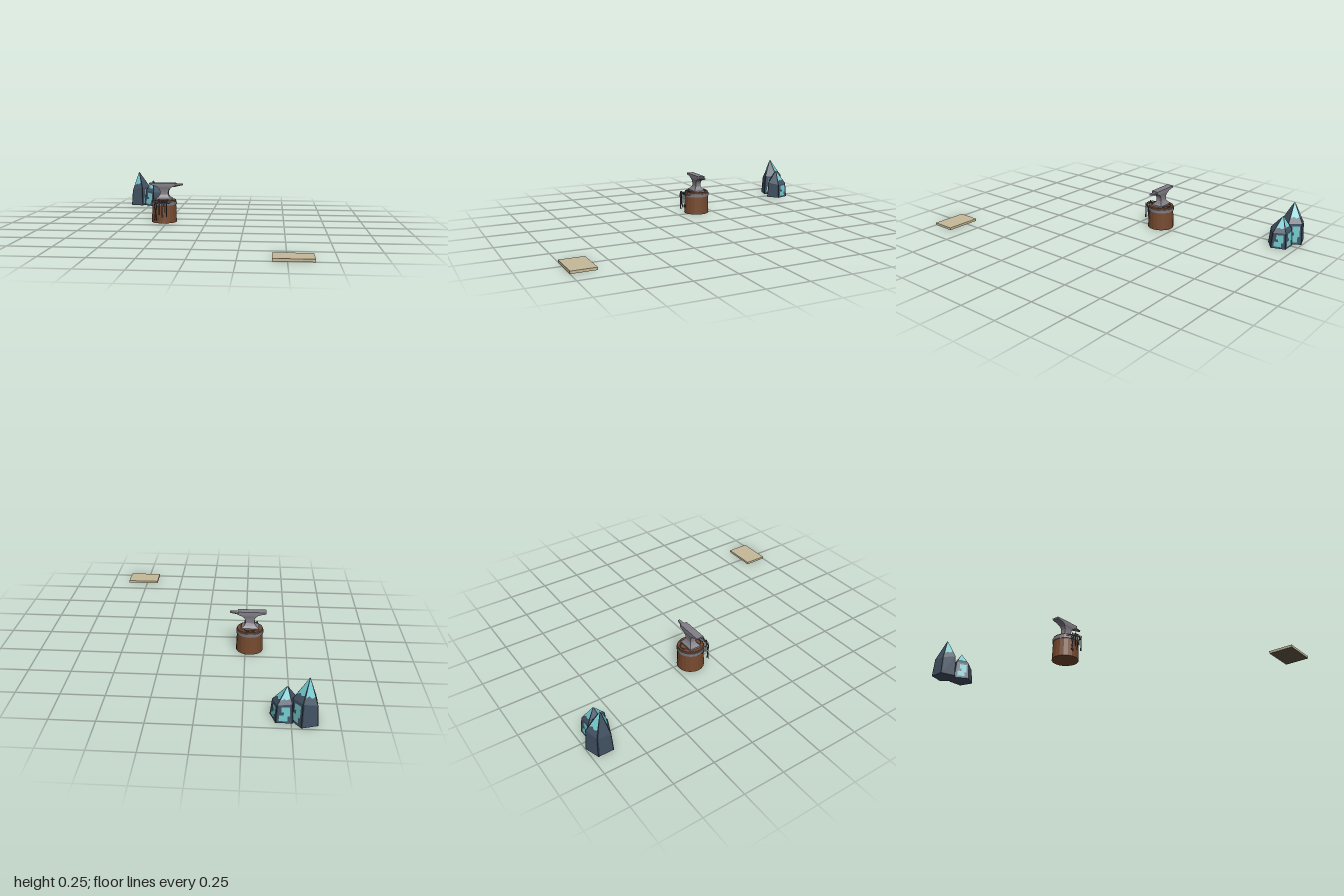
import * as THREE from 'three';

const flat = (name, color) => new THREE.MeshStandardMaterial({ name, color, flatShading: true });
const mats = {
  slate: flat('slate', 0x415162),
  edge: flat('darkSlate', 0x2b3841),
  teal: flat('teal', 0x72c8cc),
  wood: flat('wood', 0x764a2f),
  iron: flat('iron', 0x837f87),
  band: flat('bandSteel', 0x77777e),
  dark: flat('darkIron', 0x48484e),
  board: flat('board', 0xc6b999),
  boardUnder: flat('boardUnderside', 0x665c4a),
};

function add(parent, name, geometry, mat, x = 0, y = 0, z = 0) {
  const m = new THREE.Mesh(geometry, mat);
  m.name = name;
  m.position.set(x, y, z);
  parent.add(m);
  return m;
}

// Solid from rectangular sections stacked in y: [y, xMin, xMax, halfDepth]
function rectLoft(rows) {
  const pos = [], idx = [], n = rows.length;
  for (const [y, a, b, h] of rows) pos.push(a, y, h, b, y, h, b, y, -h, a, y, -h);
  for (let r = 0; r < n - 1; r++) {
    for (let k = 0; k < 4; k++) {
      const p = r * 4 + k, q = r * 4 + (k + 1) % 4;
      idx.push(p, q, q + 4, p, q + 4, p + 4);
    }
  }
  const t = (n - 1) * 4;
  idx.push(t, t + 1, t + 2, t, t + 2, t + 3, 0, 2, 1, 0, 3, 2);
  const g = new THREE.BufferGeometry();
  g.setAttribute('position', new THREE.Float32BufferAttribute(pos, 3));
  g.setIndex(idx);
  g.computeVertexNormals();
  return g;
}

// A 2D outline (0..1) laid onto a four-cornered facet, lifted a little
function facetPatch([A, B, C, D], outline, lift) {
  const shape = new THREE.Shape(outline.map(p => new THREE.Vector2(...p)));
  const g = new THREE.ShapeGeometry(shape), p = g.attributes.position;
  const normal = B.clone().sub(A).cross(D.clone().sub(A)).normalize();
  for (let i = 0; i < p.count; i++) {
    const u = p.getX(i), v = p.getY(i);
    const w = A.clone().lerp(B, u).lerp(D.clone().lerp(C, u), v).addScaledVector(normal, lift);
    p.setXYZ(i, w.x, w.y, w.z);
  }
  g.computeVertexNormals();
  return g;
}

const FULL = [[0, 0], [1, 0], [1, 1], [0, 1]];
const EDGE_A = [[0, 0], [0.08, 0], [0.08, 1], [0, 1]];
const EDGE_B = [[0.92, 0], [1, 0], [1, 1], [0.92, 1]];
const GLYPH = [[0.18, 0.12], [0.7, 0.12], [0.7, 0.38], [0.84, 0.38], [0.84, 0.88], [0.3, 0.88], [0.3, 0.6], [0.46, 0.6], [0.46, 0.44], [0.18, 0.44]];
const TIP = [[0.08, 0.24], [0.35, 0.32], [0.6, 0.24], [0.92, 0.3], [0.92, 0.99], [0.08, 0.99]];

// Five-sided pointed crystal with glowing patches on chosen facets
function crystal(name, { cx, cz, r, a0, shoulder, top, apex, tips, glyphs }) {
  const g = new THREE.Group();
  g.name = name;
  const ring = (radius, heights) => heights.map((y, i) => {
    const a = a0 + i * Math.PI * 0.4;
    return new THREE.Vector3(cx + radius * Math.cos(a), y, cz + radius * Math.sin(a));
  });
  const low = ring(r, Array(5).fill(0.004)), mid = ring(top, shoulder), peak = new THREE.Vector3(...apex);
  for (let i = 0; i < 5; i++) {
    const j = (i + 1) % 5;
    const side = [low[j], low[i], mid[i], mid[j]], cone = [mid[j], mid[i], peak, peak];
    for (const facet of [side, cone]) {
      add(g, 'crystalFacet', facetPatch(facet, FULL, 0), mats.slate);
      add(g, 'crystalEdge', facetPatch(facet, EDGE_A, 0.001), mats.edge);
      add(g, 'crystalEdge', facetPatch(facet, EDGE_B, 0.001), mats.edge);
    }
    if (glyphs.includes(i)) add(g, 'glowPatch', facetPatch(side, GLYPH, 0.0025), mats.teal);
    if (tips.includes(i)) add(g, 'glowTip', facetPatch(cone, TIP, 0.002), mats.teal);
  }
  const base = new THREE.CircleGeometry(r, 5);
  base.rotateZ(-a0).rotateX(Math.PI / 2);
  add(g, 'crystalBase', base, mats.slate, cx, 0.004, cz).rotation.y = -2 * a0;
  return g;
}

// Thin rod between two points
function rod(parent, name, a, b, r, mat) {
  const curve = new THREE.LineCurve3(new THREE.Vector3(...a), new THREE.Vector3(...b));
  return add(parent, name, new THREE.TubeGeometry(curve, 1, r, 6), mat);
}

function forge() {
  const g = new THREE.Group();
  g.name = 'anvilOnStump';
  g.position.set(-0.276, 0, -0.145);

  // Stump and its band
  add(g, 'stump', new THREE.CylinderGeometry(0.077, 0.082, 0.145, 20), mats.wood, 0, 0.0725, 0);
  add(g, 'stumpBand', new THREE.CylinderGeometry(0.0815, 0.0825, 0.02, 20), mats.band, 0, 0.125, 0);

  // Anvil body with a narrow waist and thin heel
  add(g, 'anvilBody', rectLoft([
    [0.145, -0.056, 0.054, 0.037], [0.153, -0.054, 0.052, 0.037], [0.165, -0.036, 0.036, 0.024],
    [0.18, -0.026, 0.028, 0.017], [0.2, -0.025, 0.029, 0.017], [0.215, -0.03, 0.036, 0.019],
    [0.226, -0.038, 0.05, 0.022], [0.236, -0.057, 0.074, 0.023], [0.244, -0.096, 0.074, 0.023],
    [0.254, -0.097, 0.074, 0.023],
  ]), mats.iron);

  // Horn, flatter along its top
  const horn = new THREE.CylinderGeometry(0.006, 0.013, 0.06, 10);
  horn.scale(1, 1, 1.3).rotateZ(-Math.PI / 2 + 0.1);
  add(g, 'anvilHorn', horn, mats.iron, 0.091, 0.2425, 0);
  const tip = new THREE.SphereGeometry(0.006, 10, 6);
  tip.scale(0.6, 1, 1.3);
  add(g, 'anvilHornTip', tip, mats.iron, 0.12, 0.2455, 0);

  // Clamps holding the anvil foot
  for (const s of [-1, 1]) {
    const clamp = new THREE.TorusGeometry(0.034, 0.003, 5, 12, Math.PI);
    clamp.rotateX(s * Math.PI / 2);
    add(g, 'footClamp', clamp, mats.dark, 0, 0.148, s * 0.032);
  }

  // Curved tool rail in front of the band
  const rail = new THREE.CatmullRomCurve3([[-0.056, 0.062], [-0.044, 0.09], [0, 0.099], [0.034, 0.093], [0.046, 0.066]]
    .map(([x, z]) => new THREE.Vector3(x, 0.131, z)));
  add(g, 'toolRail', new THREE.TubeGeometry(rail, 16, 0.0035, 6), mats.band);

  // Tongs
  for (const s of [-1, 1]) {
    rod(g, 'tongsHandle', [-0.043, 0.08, 0.097], [-0.043 + s * 0.007, 0.022, 0.097], 0.0026, mats.dark);
    rod(g, 'tongsJaw', [-0.043, 0.08, 0.097], [-0.043 + s * 0.008, 0.115, 0.097], 0.003, mats.dark);
    rod(g, 'tongsTip', [-0.043 + s * 0.008, 0.115, 0.097], [-0.043, 0.142, 0.097], 0.003, mats.dark);
  }

  // Hammer, chisel and punches on hooks
  for (const [x, top, bottom] of [[-0.02, 0.143, 0.058], [0.0, 0.142, 0.045], [0.014, 0.138, 0.075], [0.029, 0.14, 0.05]]) {
    rod(g, 'toolShaft', [x, top, 0.1], [x, bottom, 0.1], 0.0028, mats.dark);
    add(g, 'toolHook', new THREE.TorusGeometry(0.005, 0.0018, 5, 10), mats.dark, x, top, 0.1);
  }
  add(g, 'hammerHead', new THREE.BoxGeometry(0.018, 0.01, 0.009), mats.dark, -0.02, 0.135, 0.1);
  add(g, 'chiselBlade', new THREE.BoxGeometry(0.008, 0.016, 0.006), mats.band, 0, 0.05, 0.1);
  add(g, 'punchTip', new THREE.BoxGeometry(0.007, 0.02, 0.006), mats.dark, 0.029, 0.055, 0.1);
  return g;
}

export function createModel() {
  const model = new THREE.Group();
  model.name = 'forgeScene';
  model.add(crystal('largeCrystal', {
    cx: -0.573, cz: -0.925, r: 0.078, a0: 0, top: 0.069,
    shoulder: [0.136, 0.14, 0.115, 0.12, 0.138], apex: [-0.585, 0.253, -0.915],
    tips: [1, 3, 4], glyphs: [0, 4],
  }));
  model.add(crystal('smallCrystal', {
    cx: -0.463, cz: -0.897, r: 0.075, a0: Math.PI / 2, top: 0.065,
    shoulder: [0.108, 0.115, 0.112, 0.102, 0.098], apex: [-0.475, 0.19, -0.9],
    tips: [0, 2, 3], glyphs: [0, 2, 3],
  }));
  model.add(forge());
  // Flat board on the ground, darker beneath
  const { board, boardUnder } = mats;
  add(model, 'board', new THREE.BoxGeometry(0.212, 0.015, 0.145),
    [board, board, board, boardUnder, board, board], 0.53, 0.0075, 0.9275);
  return model;
}
